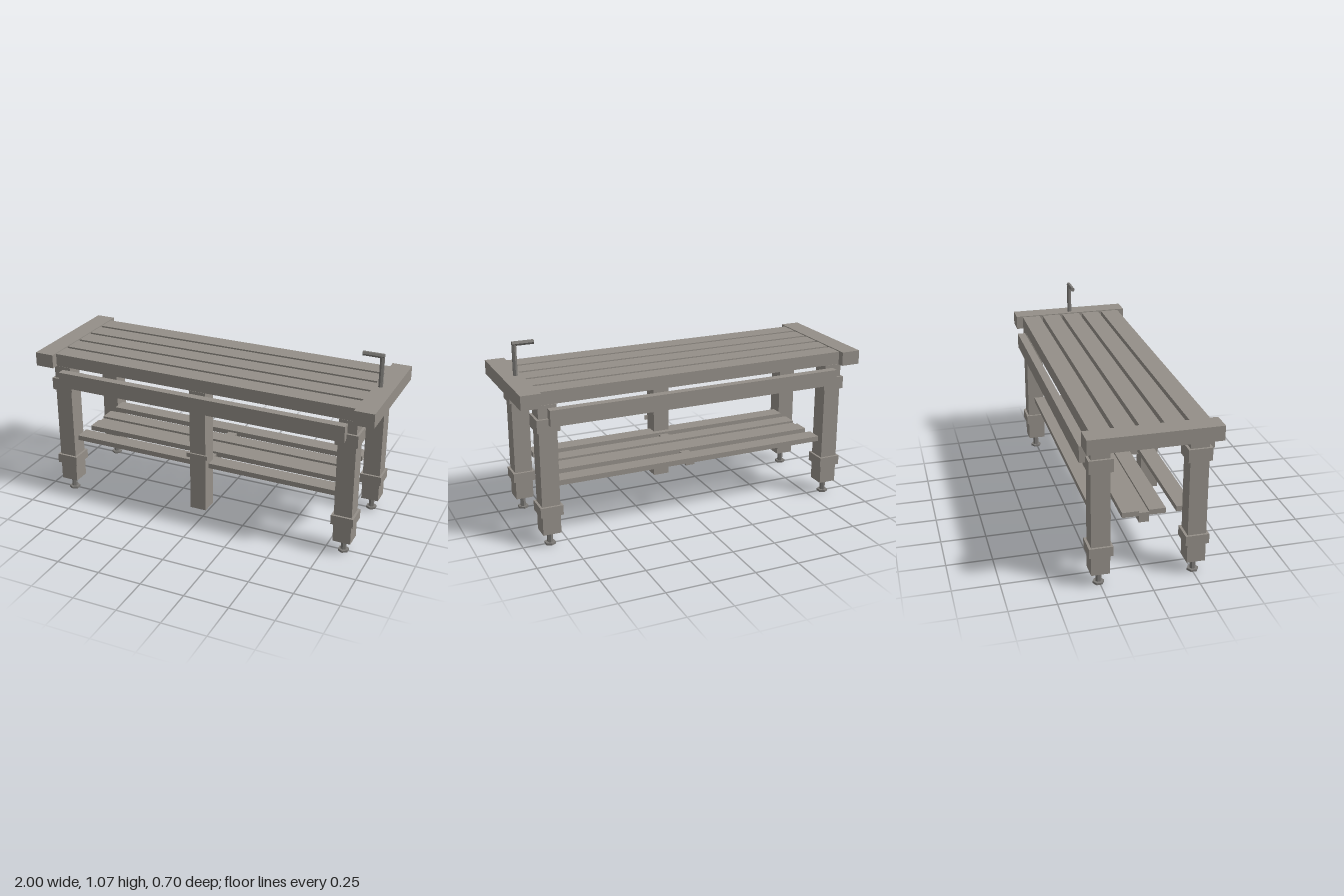
import * as THREE from 'three';

const wood = new THREE.MeshStandardMaterial({ color: 0x948f88 });
wood.name = 'weathered grey wood';
const metal = new THREE.MeshStandardMaterial({ color: 0x7c7a77, flatShading: true });
metal.name = 'dark grey metal';

export function createModel() {
  const model = new THREE.Group();
  model.name = 'workbench';

  // Box given by its limits on each axis
  const box = (name, [x0, x1], [y0, y1], [z0, z1], parent = model) => {
    const mesh = new THREE.Mesh(new THREE.BoxGeometry(x1 - x0, y1 - y0, z1 - z0), wood);
    mesh.position.set((x0 + x1) / 2, (y0 + y1) / 2, (z0 + z1) / 2);
    mesh.name = name;
    parent.add(mesh);
  };

  // Six-sided upright rod
  const hexRod = (name, radius, y0, y1, x, z, parent = model) => {
    const mesh = new THREE.Mesh(new THREE.CylinderGeometry(radius, radius, y1 - y0, 6), metal);
    mesh.position.set(x, (y0 + y1) / 2, z);
    mesh.name = name;
    parent.add(mesh);
    return mesh;
  };

  // Table top: five long planks closed by an end board on each side
  for (let i = -2; i <= 2; i++) {
    const z = i * 0.127;
    box('topPlank', [-0.89, 0.89], [0.805, 0.877], [z - 0.0535, z + 0.0535]);
  }
  box('endBoard', [-1, -0.89], [0.803, 0.882], [-0.346, 0.346]);
  box('endBoard', [0.89, 1], [0.803, 0.882], [-0.346, 0.346]);

  // Long side rails outside the legs
  box('sideRail', [-0.853, 0.85], [0.696, 0.785], [0.305, 0.35]);
  box('sideRail', [-0.853, 0.85], [0.696, 0.785], [-0.35, -0.305]);

  // Legs with two collars and a levelling foot
  for (const x of [-0.856, 0.851]) {
    for (const z of [-0.255, 0.255]) {
      const leg = new THREE.Group();
      leg.name = 'leg';
      model.add(leg);
      const span = (c, half) => [c - half, c + half];
      box('legPost', span(x, 0.05), [0.076, 0.803], span(z, 0.05), leg);
      box('upperCollar', span(x, 0.0625), [0.659, 0.73], span(z, 0.0635), leg);
      box('lowerCollar', span(x, 0.0625), [0.185, 0.239], span(z, 0.0635), leg);
      hexRod('footStem', 0.016, 0.012, 0.07, x, z, leg);
      hexRod('footPad', 0.031, 0, 0.012, x, z, leg);
    }
  }

  // Middle post on the front with its clip
  box('middlePost', [-0.05, 0.045], [0.078, 0.803], [0.205, 0.305]);
  box('postClip', [-0.065, 0.06], [0.403, 0.428], [0.303, 0.315]);

  // Lower shelf: crossbar, central stringer and four slats
  box('shelfCrossbar', [-0.03, 0.025], [0.292, 0.347], [-0.205, 0.205]);
  box('shelfStringer', [-0.805, 0.8], [0.292, 0.347], [-0.027, 0.027]);
  for (const z of [-0.219, -0.072, 0.072, 0.219]) {
    box('shelfSlat', [-0.805, 0.8], [0.33, 0.359], [z - 0.045, z + 0.045]);
  }

  // Bent hold-down handle on one end board
  hexRod('handleUpright', 0.013, 0.87, 1.05, 0.924, 0);
  const arm = hexRod('handleArm', 0.013, 0, 0.118, 0.876, 0);
  arm.position.y = 1.056;
  arm.rotation.z = Math.PI / 2;

  return model;
}
